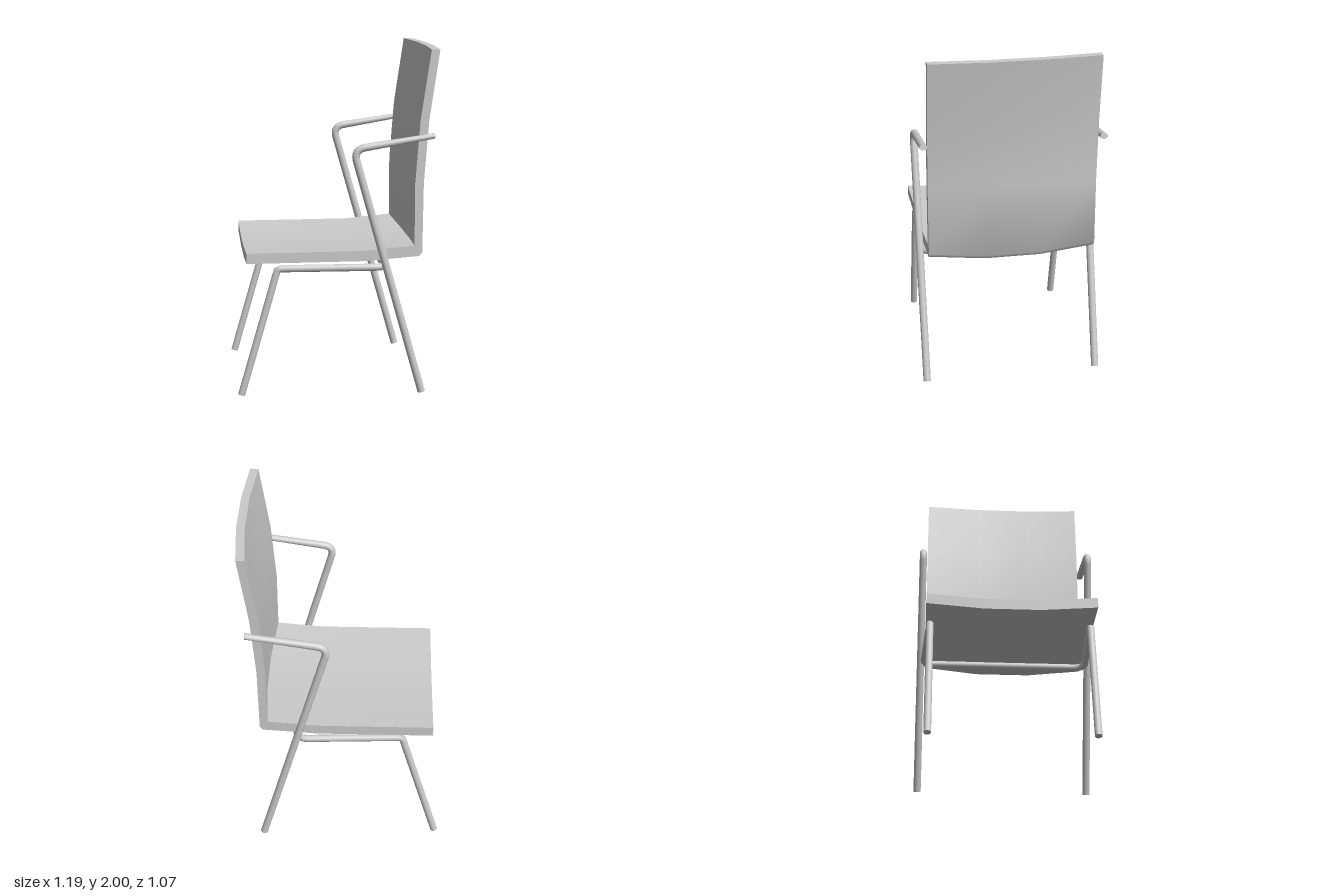
import * as THREE from 'three';
import { mergeGeometries, toCreasedNormals } from 'three/addons/utils/BufferGeometryUtils.js';

const grey = new THREE.MeshStandardMaterial({ color: 0xcccccc });

// Capped round tube through points [x, y, z, cornerRadius]
function tube(points, radius) {
  const v = points.map(p => new THREE.Vector3(p[0], p[1], p[2]));
  const path = new THREE.CurvePath();
  let start = v[0];
  for (let i = 1; i < v.length - 1; i++) {
    const r = points[i][3] ?? 0.03;
    const into = v[i].clone().add(v[i - 1].clone().sub(v[i]).setLength(r));
    const out = v[i].clone().add(v[i + 1].clone().sub(v[i]).setLength(r));
    path.add(new THREE.LineCurve3(start, into));
    path.add(new THREE.QuadraticBezierCurve3(into, v[i], out));
    start = out;
  }
  path.add(new THREE.LineCurve3(start, v[v.length - 1]));
  const parts = [new THREE.TubeGeometry(path, 160, radius, 16)];
  for (const t of [0, 1]) {
    const dir = path.getTangentAt(t).multiplyScalar(t ? 1 : -1);
    const end = path.getPointAt(t);
    const cap = new THREE.CircleGeometry(radius, 16);
    cap.applyQuaternion(new THREE.Quaternion().setFromUnitVectors(new THREE.Vector3(0, 0, 1), dir));
    parts.push(cap.translate(end.x, end.y, end.z));
  }
  return mergeGeometries(parts);
}

// Seat and back in one L-shaped shell, hollowed towards the middle
function shellGeometry() {
  const profile = [
    [-0.54, 0.79], [0.14, 0.79], [0.458, 0.812], [0.476, 0.835],
    [0.48, 1.24], [0.507, 1.6], [0.565, 2.0],
    [0.516, 2.0], [0.457, 1.6], [0.43, 1.24],
    [0.43, 0.875], [0.14, 0.85], [-0.54, 0.85],
  ];
  const shape = new THREE.Shape(profile.map(p => new THREE.Vector2(...p)));
  const width = 0.974;
  const geo = new THREE.ExtrudeGeometry(shape, { depth: width, steps: 3, bevelEnabled: false });
  geo.translate(0, 0, -width / 2);
  const pos = geo.attributes.position;
  for (let i = 0; i < pos.count; i++) {
    if (Math.abs(pos.getZ(i)) > 0.3) continue;
    const x = pos.getX(i), y = pos.getY(i);
    pos.setX(i, x + 0.025 * THREE.MathUtils.clamp((x - 0.14) / 0.29, 0, 1));
    if (y < 1) pos.setY(i, y - 0.025);
  }
  return toCreasedNormals(geo, 0.8);
}

// Rear leg that runs up and bends back into a slightly flattened armrest
function rearLegGeometry(side) {
  const z = 0.513 * side;
  const geo = tube([[0.475, 0.006, z], [0.07, 1.443, z, 0.07], [0.535, 1.515, z]], 0.022);
  const pos = geo.attributes.position;
  for (let i = 0; i < pos.count; i++) {
    const x = pos.getX(i), y = pos.getY(i);
    if (y < 1.3 || x < 0.15) continue;
    const mid = 1.443 + (x - 0.07) * 0.155;
    const t = Math.min((x - 0.15) / 0.3, 1);
    pos.setY(i, mid + (y - mid) * (1 - 0.25 * t));
  }
  return geo;
}

export function createModel() {
  const chair = new THREE.Group();
  chair.name = 'armchair';
  const add = (name, geo) => {
    const mesh = new THREE.Mesh(geo, grey);
    mesh.name = name;
    chair.add(mesh);
  };

  add('seatAndBack', shellGeometry());

  // Front legs and the U-shaped rail under the seat, one continuous tube
  add('frontLegsAndSeatRail', tube([
    [-0.575, 0.006, 0.463], [-0.36, 0.752, 0.463, 0.015],
    [0.262, 0.754, 0.495, 0.07], [0.262, 0.754, -0.495, 0.07],
    [-0.36, 0.752, -0.463, 0.015], [-0.575, 0.006, -0.463],
  ], 0.021));

  add('leftRearLegAndArm', rearLegGeometry(1));
  add('rightRearLegAndArm', rearLegGeometry(-1));
  return chair;
}
